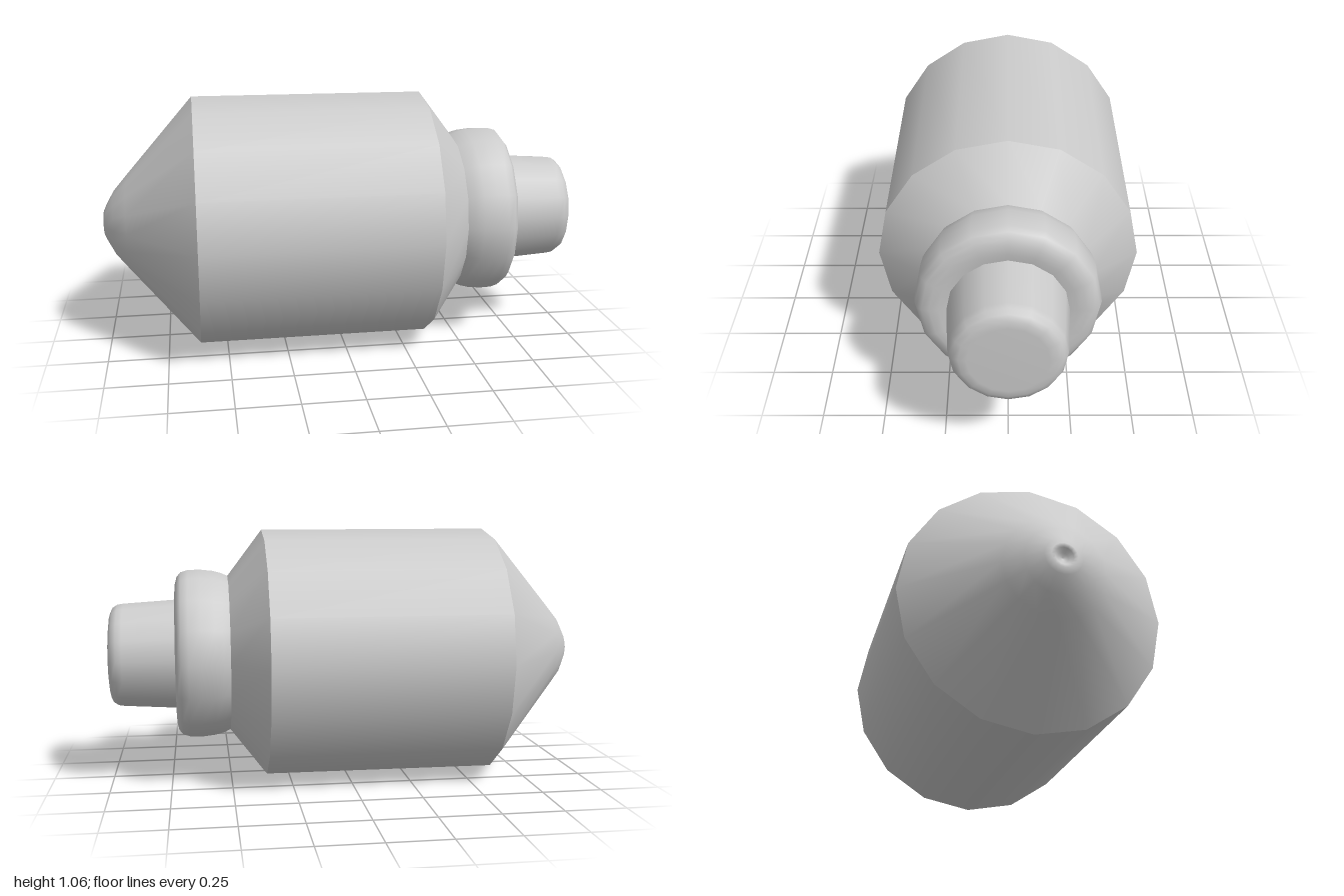
import * as THREE from 'three';

const SIDES = 16;
const AXIS_HEIGHT = 0.535;

export function createModel() {
  const model = new THREE.Group();
  const material = new THREE.MeshStandardMaterial({ color: 0xcccccc, side: THREE.DoubleSide });

  // Turned part along x; each run of [x, radius] points is smooth, runs meet in a sharp edge
  function turned(name, ...runs) {
    const part = new THREE.Group();
    part.name = name;
    for (const run of runs) {
      const geometry = new THREE.LatheGeometry(run.map(([x, r]) => new THREE.Vector2(r, x)), SIDES);
      geometry.rotateZ(-Math.PI / 2);
      const mesh = new THREE.Mesh(geometry, material);
      mesh.name = name + 'Surface';
      part.add(mesh);
    }
    part.position.y = AXIS_HEIGHT;
    model.add(part);
  }

  // Pointed end with a small dimple in its rounded tip
  turned('nose',
    [[-0.975, 0], [-0.98, 0.02], [-0.995, 0.035], [-1, 0.05], [-0.99, 0.073], [-0.955, 0.137], [-0.9, 0.202], [-0.615, 0.53]]);

  // Main barrel and the shoulder that narrows to the collar
  turned('barrel', [[-0.615, 0.53], [0.355, 0.528]]);
  turned('shoulder', [[0.355, 0.528], [0.502, 0.333]]);

  // Rounded collar
  turned('collar',
    [[0.502, 0.333], [0.53, 0.346], [0.565, 0.355], [0.62, 0.361], [0.67, 0.359], [0.7, 0.35],
      [0.716, 0.33], [0.724, 0.3], [0.724, 0.265], [0.718, 0.23]]);

  // Tapered stub with a rounded rim
  turned('stub',
    [[0.71, 0.235], [0.94, 0.22], [0.965, 0.216], [0.985, 0.203], [0.996, 0.18], [1, 0.15], [1, 0]]);

  return model;
}
